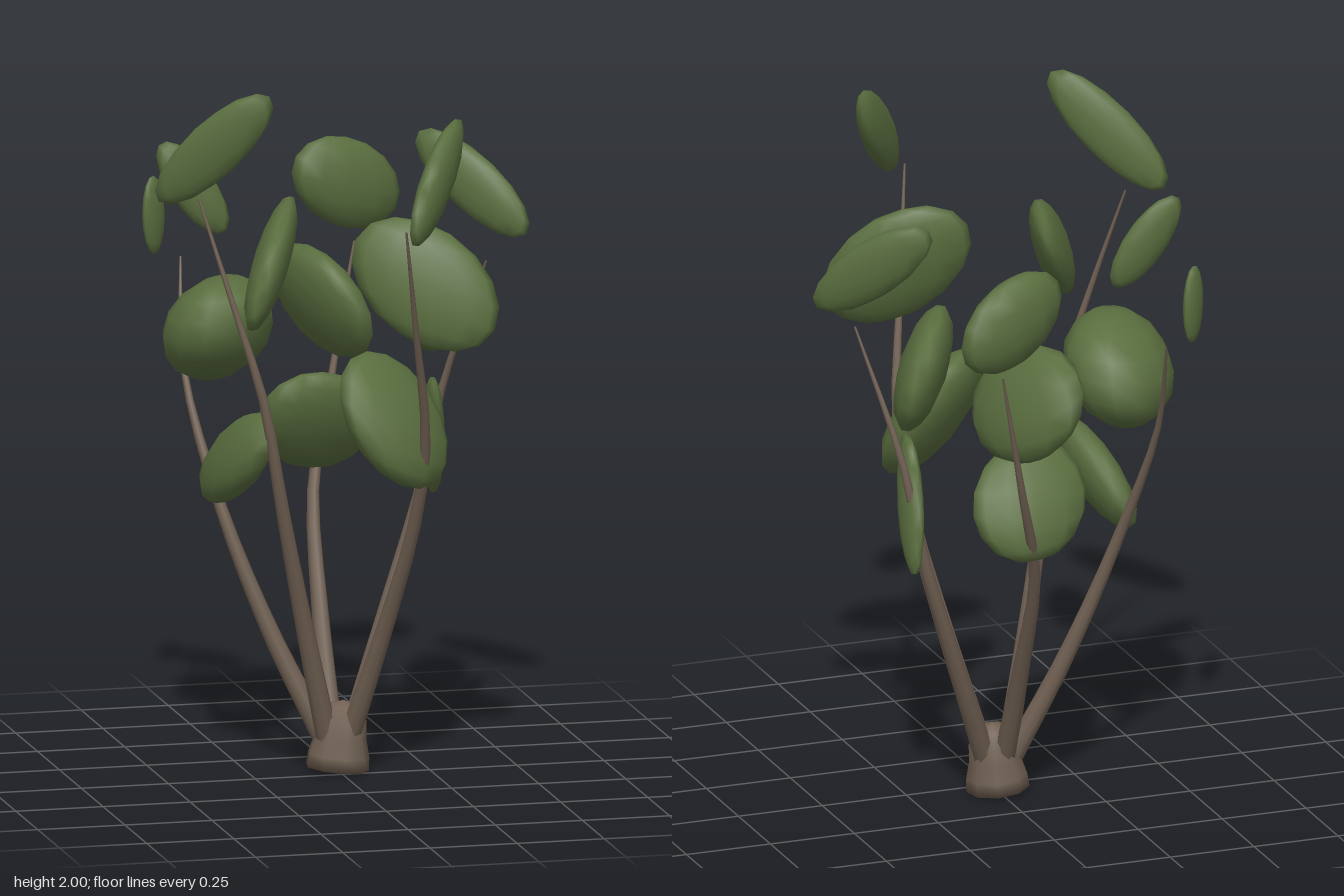
import * as THREE from 'three';

// Each leaf: centre, half extents, and how far it leans in the xy, xz and yz planes (-1..1)
const LEAVES = [
  // tall crown leaves
  [[-0.405, 1.835, 0.145], [0.145, 0.165, 0.095], [0.77, 0.9, 0.8]],
  [[0.145, 1.785, 0.5], [0.105, 0.155, 0.13], [0.75, -0.89, -0.73]],
  [[0.415, 1.63, -0.17], [0.135, 0.14, 0.115], [-0.71, 0.91, -0.75]],
  [[0.148, 1.565, -0.555], [0.163, 0.135, 0.078], [-0.32, -0.55, 0.2]],
  [[-0.425, 1.52, -0.47], [0.037, 0.11, 0.033], [-0.1, -0.65, 0.1]],
  // middle leaves
  [[-0.367, 1.64, -0.252], [0.1, 0.13, 0.035], [-0.7, 0.35, -0.4]],
  [[-0.247, 1.505, 0.165], [0.105, 0.165, 0.185], [0.72, -0.76, -0.5]],
  [[0.16, 1.455, 0.31], [0.19, 0.18, 0.1], [-0.33, 0.72, -0.56]],
  [[0.27, 1.325, -0.185], [0.12, 0.165, 0.185], [-0.36, -0.68, 0]],
  [[0.045, 1.265, -0.41], [0.115, 0.16, 0.187], [-0.5, 0.57, -0.05]],
  [[-0.313, 1.255, -0.18], [0.163, 0.152, 0.187], [0.1, -0.2, 0.25]],
  // low leaves
  [[0.095, 1.05, 0.205], [0.165, 0.183, 0.145], [-0.42, -0.37, -0.36]],
  [[0.005, 0.945, -0.32], [0.172, 0.15, 0.104], [-0.12, -0.2, 0.7]],
  [[-0.29, 0.91, -0.045], [0.082, 0.14, 0.178], [0.6, 0.47, 0.5]],
  [[0.3, 0.92, -0.165], [0.034, 0.18, 0.097], [-0.55, -0.35, 0.74]],
];

// Stem paths, root to tip
const STEMS = [
  [[-0.03, 0.08, -0.04], [-0.12, 0.45, 0.03], [-0.2, 0.8, 0.1], [-0.26, 1.1, 0.14], [-0.35, 1.4, 0.12], [-0.43, 1.68, 0.07]],
  [[0.02, 0.08, -0.03], [0.1, 0.45, 0.1], [0.15, 0.75, 0.22], [0.16, 1.0, 0.31], [0.1, 1.35, 0.44], [0.045, 1.66, 0.55]],
  [[0.03, 0.08, -0.06], [0.15, 0.4, -0.14], [0.27, 0.76, -0.19], [0.33, 1.05, -0.18], [0.43, 1.43, -0.07]],
  [[-0.01, 0.08, -0.07], [-0.01, 0.4, -0.21], [0.01, 0.75, -0.375], [0.08, 1.0, -0.47], [0.17, 1.4, -0.545]],
  [[-0.03, 0.08, -0.06], [-0.18, 0.4, -0.12], [-0.31, 0.77, -0.2], [-0.375, 1.12, -0.33], [-0.35, 1.4, -0.46]],
];

// A sphere sheared into a tilted, flattened leaf pad
function leafGeometry([a, b, c], [xy, xz, yz]) {
  const s = Math.sqrt(1 - xy * xy);
  const t = (yz - xy * xz) / s;
  const u = Math.sqrt(Math.max(0.03, 1 - xz * xz - t * t));
  const shape = new THREE.Matrix4().set(
    a, 0, 0, 0,
    b * xy, b * s, 0, 0,
    c * xz, c * t, c * u, 0,
    0, 0, 0, 1
  );
  return new THREE.SphereGeometry(1.02, 12, 8).applyMatrix4(shape);
}

// A tube narrowing from root to tip
function stemGeometry(points) {
  const curve = new THREE.CatmullRomCurve3(points.map((p) => new THREE.Vector3(...p)));
  const rings = 14, sides = 8;
  const geo = new THREE.TubeGeometry(curve, rings, 0.032, sides);
  const pos = geo.attributes.position;
  const v = new THREE.Vector3();
  for (let i = 0; i <= rings; i++) {
    const centre = curve.getPointAt(i / rings);
    const keep = 1 - 0.9 * (i / rings);
    for (let j = 0; j <= sides; j++) {
      const k = i * (sides + 1) + j;
      v.fromBufferAttribute(pos, k).sub(centre).multiplyScalar(keep).add(centre);
      pos.setXYZ(k, v.x, v.y, v.z);
    }
  }
  return geo;
}

export function createModel() {
  const model = new THREE.Group();
  model.name = 'leafyShrub';
  const leafGreen = new THREE.MeshStandardMaterial({ color: 0x5a6e3f });
  leafGreen.name = 'leafGreen';
  const barkBrown = new THREE.MeshStandardMaterial({ color: 0x706052 });
  barkBrown.name = 'barkBrown';

  // Root clump with a slightly slanted, flared foot
  const profile = [[0, 0.012], [0.09, 0.012], [0.087, 0.05], [0.074, 0.1], [0.07, 0.15], [0.048, 0.19], [0, 0.205]];
  const rootGeo = new THREE.LatheGeometry(profile.map(([r, y]) => new THREE.Vector2(r, y)), 9);
  const root = new THREE.Mesh(rootGeo, barkBrown);
  root.name = 'rootClump';
  root.position.set(-0.005, 0, -0.05);
  root.rotation.z = -0.1;
  model.add(root);

  const stems = new THREE.Group();
  stems.name = 'stems';
  for (const points of STEMS) {
    const stem = new THREE.Mesh(stemGeometry(points), barkBrown);
    stem.name = 'stem';
    stems.add(stem);
  }

  const leaves = new THREE.Group();
  leaves.name = 'leaves';
  for (const [centre, half, lean] of LEAVES) {
    const leaf = new THREE.Mesh(leafGeometry(half, lean), leafGreen);
    leaf.name = 'leaf';
    leaf.position.set(...centre);
    leaves.add(leaf);
  }

  model.add(stems, leaves);
  return model;
}
